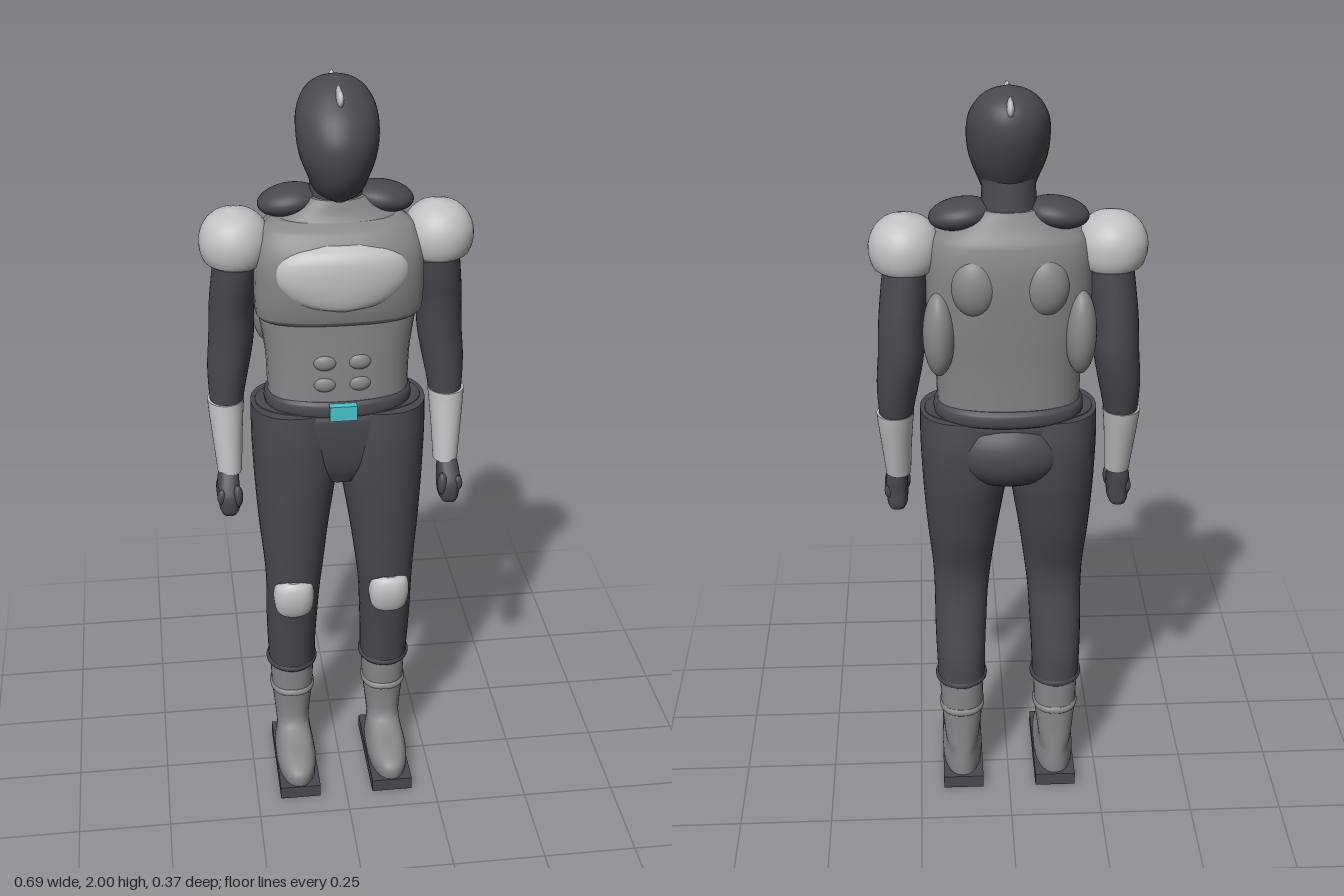
import * as THREE from 'three';

const mat = (name, color) => {
  const m = new THREE.MeshStandardMaterial({ color });
  m.name = name;
  return m;
};

// Body built from horizontal cross-sections [y, xMin, xMax, zMin, zMax], bottom to top.
// side mirrors in x, power squares off the outline, steps smooths between sections.
function loft(rows, { side = 1, power = 2, steps = 4, sides = 36 } = {}) {
  const rings = [];
  for (let i = 0; i < rows.length - 1; i++) {
    const [a, b, c, d] = [-1, 0, 1, 2].map(k => rows[Math.min(Math.max(i + k, 0), rows.length - 1)]);
    for (let s = 0; s < steps; s++) {
      const t = s / steps;
      rings.push(b.map((v, k) => {
        if (k === 0 || steps === 1) return v + (c[k] - v) * t;
        const h = c[0] - v0(b);
        const m0 = (c[k] - a[k]) / (c[0] - a[0]) * h, m1 = (d[k] - v) / (d[0] - b[0]) * h;
        const t2 = t * t, t3 = t2 * t;
        return (2 * t3 - 3 * t2 + 1) * v + (t3 - 2 * t2 + t) * m0 + (3 * t2 - 2 * t3) * c[k] + (t3 - t2) * m1;
      }));
    }
  }
  rings.push(rows[rows.length - 1]);
  const flat = r => [r[0], (r[1] + r[2]) / 2, (r[1] + r[2]) / 2, (r[3] + r[4]) / 2, (r[3] + r[4]) / 2];
  const first = rings[0], last = rings[rings.length - 1];
  const all = [flat(first), first, ...rings, last, flat(last)];
  const pos = [], idx = [];
  const bend = v => Math.sign(v) * Math.pow(Math.abs(v), 2 / power);
  all.forEach(([y, x0, x1, z0, z1], i) => {
    for (let j = 0; j < sides; j++) {
      const a = j / sides * Math.PI * 2;
      pos.push(side * (x0 + x1) / 2 + bend(Math.cos(a)) * (x1 - x0) / 2, y, (z0 + z1) / 2 + bend(Math.sin(a)) * (z1 - z0) / 2);
      if (i < all.length - 1) {
        const p = i * sides + j, q = i * sides + (j + 1) % sides;
        idx.push(p, p + sides, q, q, p + sides, q + sides);
      }
    }
  });
  const g = new THREE.BufferGeometry();
  g.setAttribute('position', new THREE.Float32BufferAttribute(pos, 3));
  g.setIndex(idx);
  g.computeVertexNormals();
  return g;
}
const v0 = row => row[0];

// Section that is symmetric about x = 0
const mid = (y, w, z0, z1) => [y, -w, w, z0, z1];

export function createModel() {
  const root = new THREE.Group();
  root.name = 'armouredFigure';
  const dark = mat('charcoal suit', 0x48484f);
  const grey = mat('mid grey armour', 0x87878a);
  const light = mat('light grey plates', 0xc2c2c4);
  const cyan = mat('cyan buckle', 0x48c4ce);

  const add = (name, geo, m) => {
    const mesh = new THREE.Mesh(geo, m);
    mesh.name = name;
    root.add(mesh);
    return mesh;
  };
  const blob = (name, m, [x, y, z], [rx, ry, rz], tilt = 0) => {
    const mesh = add(name, new THREE.SphereGeometry(1, 32, 20), m);
    mesh.position.set(x, y, z);
    mesh.scale.set(rx, ry, rz);
    mesh.rotation.z = tilt;
    return mesh;
  };

  // Head, neck and crest
  add('head', loft([
    mid(1.712, 0.02, -0.04, 0.03), mid(1.73, 0.055, -0.08, 0.055), mid(1.77, 0.075, -0.11, 0.084),
    mid(1.82, 0.094, -0.138, 0.1), mid(1.87, 0.101, -0.157, 0.1), mid(1.92, 0.098, -0.164, 0.073),
    mid(1.96, 0.08, -0.152, 0.03), mid(1.985, 0.052, -0.122, -0.008), mid(1.999, 0.012, -0.08, -0.05),
  ]), dark);
  add('neck', loft([mid(1.65, 0.09, -0.135, 0.02), mid(1.7, 0.07, -0.125, 0.01), mid(1.79, 0.065, -0.115, 0)]), dark);
  const crest = add('crest', new THREE.CapsuleGeometry(0.02, 0.175, 6, 16), light);
  crest.rotation.x = Math.PI / 2;
  crest.scale.x = 0.45;
  crest.position.set(0, 1.967, -0.058);

  // Torso and chest armour
  add('torso', loft([
    mid(1.18, 0.182, -0.148, 0.08), mid(1.3, 0.186, -0.155, 0.078), mid(1.42, 0.203, -0.165, 0.075),
    mid(1.55, 0.208, -0.172, 0.08), mid(1.63, 0.19, -0.162, 0.05), mid(1.67, 0.135, -0.142, 0.025), mid(1.71, 0.075, -0.125, 0.012),
  ], { power: 2.4 }), grey);
  add('chestArmour', loft([
    mid(1.405, 0.2, -0.1, 0.074), mid(1.42, 0.21, -0.1, 0.087), mid(1.5, 0.213, -0.1, 0.1),
    mid(1.58, 0.21, -0.1, 0.096), mid(1.64, 0.19, -0.1, 0.063), mid(1.66, 0.16, -0.1, 0.03),
  ], { power: 2.4 }), grey);
  add('chestPlate', loft([
    mid(1.453, 0.04, 0.03, 0.095), mid(1.465, 0.105, 0.015, 0.108), mid(1.5, 0.152, 0, 0.117), mid(1.54, 0.167, 0, 0.12),
    mid(1.58, 0.157, 0, 0.117), mid(1.605, 0.12, 0.01, 0.106), mid(1.62, 0.06, 0.03, 0.085),
  ]), light);

  // Belt, buckle and hips
  add('belt', loft([
    mid(1.15, 0.178, -0.15, 0.08), mid(1.16, 0.19, -0.163, 0.09), mid(1.187, 0.19, -0.163, 0.09), mid(1.198, 0.18, -0.152, 0.082),
  ], { power: 2.3 }), dark);
  add('buckle', new THREE.BoxGeometry(0.07, 0.04, 0.03), cyan).position.set(0, 1.175, 0.09);
  add('hips', loft([
    mid(0.95, 0.06, -0.08, 0.06), mid(1.0, 0.15, -0.11, 0.08), mid(1.07, 0.215, -0.14, 0.09),
    mid(1.14, 0.224, -0.15, 0.092), mid(1.162, 0.215, -0.145, 0.085),
  ], { power: 2.3 }), dark);
  blob('seat', dark, [0, 1.065, -0.09], [0.155, 0.1, 0.092]);

  for (const side of [1, -1]) {
    const s = side > 0 ? 'left' : 'right';
    const part = (name, rows, m, opt = {}) => add(s + name, loft(rows, { side, ...opt }), m);
    const ball = (name, m, [x, y, z], r, tilt = 0) => blob(s + name, m, [side * x, y, z], r, side * tilt);

    // Muscles of the back and belly
    ball('Lat', grey, [0.175, 1.4, -0.12], [0.04, 0.11, 0.052]);
    ball('ShoulderBlade', grey, [0.085, 1.53, -0.135], [0.06, 0.08, 0.048]);
    for (const y of [1.245, 1.305]) ball('Abdominal', grey, [0.043, y, 0.07], [0.03, 0.022, 0.015]);

    // Shoulders
    ball('CollarPad', dark, [0.117, 1.692, -0.065], [0.079, 0.037, 0.066], -0.15);
    part('ShoulderCap', [
      [1.54, 0.19, 0.315, -0.105, 0.025], [1.555, 0.174, 0.334, -0.127, 0.046], [1.6, 0.165, 0.344, -0.136, 0.056],
      [1.64, 0.175, 0.334, -0.127, 0.046], [1.67, 0.202, 0.307, -0.098, 0.018], [1.685, 0.242, 0.267, -0.053, -0.027],
    ], light);

    // Arm, gauntlet and fist
    part('Arm', [
      [1.1, 0.25, 0.325, -0.085, -0.005], [1.17, 0.242, 0.332, -0.108, -0.005], [1.25, 0.226, 0.334, -0.128, 0],
      [1.33, 0.212, 0.328, -0.14, 0.004], [1.42, 0.208, 0.324, -0.138, 0.014], [1.5, 0.2, 0.316, -0.13, 0.03], [1.58, 0.196, 0.306, -0.12, 0.04],
    ], dark);
    part('Gauntlet', [
      [0.968, 0.255, 0.32, -0.055, 0.022], [1.05, 0.251, 0.328, -0.078, 0.013],
      [1.13, 0.245, 0.336, -0.1, 0.003], [1.16, 0.242, 0.338, -0.107, 0],
    ], light);
    part('Hand', [
      [0.862, 0.272, 0.315, -0.035, 0.05], [0.875, 0.266, 0.32, -0.04, 0.056], [0.915, 0.264, 0.322, -0.042, 0.057],
      [0.945, 0.265, 0.322, -0.045, 0.04], [0.985, 0.266, 0.312, -0.045, 0.01],
    ], dark, { power: 2.8 });
    for (let i = 0; i < 4; i++) ball('Knuckle', dark, [0.313, 0.915, -0.025 + i * 0.022], [0.013, 0.022, 0.012]);
    ball('Thumb', dark, [0.272, 0.915, 0.04], [0.014, 0.032, 0.017]);

    // Trouser leg, cuff and knee pad
    part('Leg', [
      [0.335, 0.066, 0.195, -0.112, 0.038], [0.42, 0.064, 0.198, -0.108, 0.048], [0.5, 0.06, 0.2, -0.092, 0.058],
      [0.6, 0.054, 0.2, -0.075, 0.073], [0.68, 0.045, 0.203, -0.078, 0.083], [0.8, 0.029, 0.214, -0.113, 0.091],
      [0.9, 0.013, 0.221, -0.135, 0.097], [0.98, 0.001, 0.225, -0.15, 0.1], [1.08, 0, 0.228, -0.155, 0.1], [1.16, 0.005, 0.227, -0.145, 0.092],
    ], dark, { power: 2.2 });
    const cuff = add(s + 'Cuff', new THREE.TorusGeometry(1, 0.15, 12, 40), dark);
    cuff.rotation.x = Math.PI / 2;
    cuff.scale.set(0.062, 0.068, 0.08);
    cuff.position.set(side * 0.131, 0.341, -0.036);
    part('KneePad', [
      [0.543, 0.105, 0.155, 0.03, 0.078], [0.555, 0.085, 0.175, 0.02, 0.09], [0.59, 0.076, 0.184, 0.01, 0.101],
      [0.62, 0.076, 0.184, 0.01, 0.103], [0.645, 0.084, 0.176, 0.02, 0.097], [0.657, 0.105, 0.155, 0.03, 0.086],
    ], light, { power: 2.4 });

    // Boot with foot, ankle band and sole
    part('Boot', [
      [0.03, 0.077, 0.185, -0.112, 0.178], [0.06, 0.075, 0.187, -0.113, 0.183], [0.08, 0.078, 0.184, -0.113, 0.173],
      [0.1, 0.083, 0.179, -0.112, 0.13], [0.115, 0.085, 0.177, -0.111, 0.07], [0.135, 0.085, 0.178, -0.11, 0.03],
      [0.18, 0.08, 0.182, -0.108, 0.022], [0.245, 0.073, 0.188, -0.108, 0.026], [0.335, 0.07, 0.191, -0.11, 0.03],
    ], grey, { power: 2.3 });
    part('BootBand', [
      [0.236, 0.076, 0.186, -0.106, 0.024], [0.243, 0.069, 0.192, -0.113, 0.032],
      [0.252, 0.069, 0.192, -0.113, 0.032], [0.259, 0.074, 0.188, -0.109, 0.027],
    ], grey, { power: 2.3 });
    add(s + 'Sole', new THREE.BoxGeometry(0.112, 0.037, 0.302), dark).position.set(side * 0.13, 0.0185, 0.031);
  }
  return root;
}
